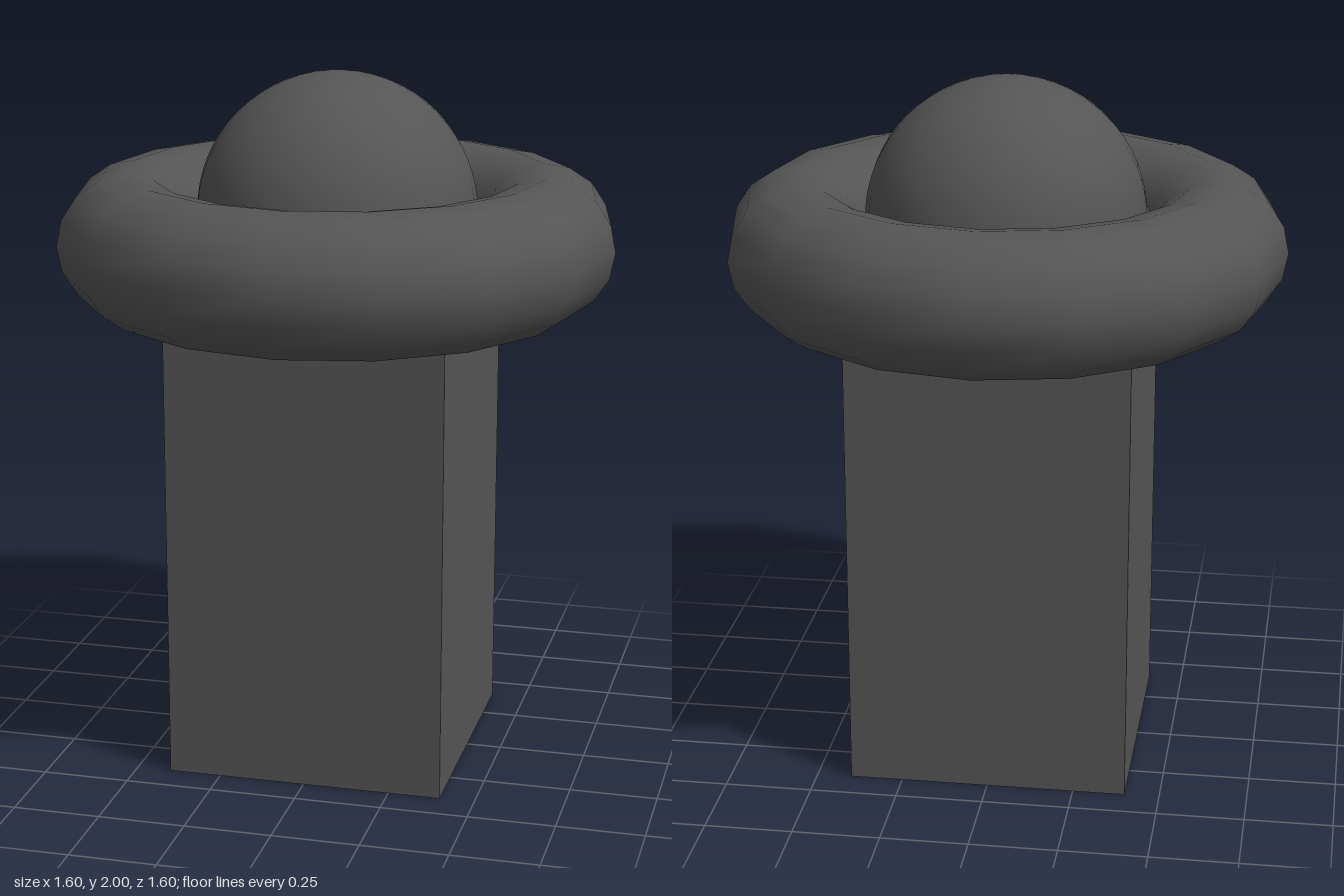
import * as THREE from 'three';

export function createModel() {
  const group = new THREE.Group();
  const material = new THREE.MeshStandardMaterial({ color: 0x555555 });

  const add = (name, geometry, y) => {
    const mesh = new THREE.Mesh(geometry, material);
    mesh.name = name;
    mesh.position.y = y;
    group.add(mesh);
    return mesh;
  };

  // Square post standing on the ground
  add('post', new THREE.BoxGeometry(0.8, 1.6, 0.8), 0.8);

  // Ball half sunk into the top of the post
  add('dome', new THREE.SphereGeometry(0.4, 32, 32), 1.6);

  // Horizontal sixteen-sided ring around the post top
  const ring = add('ring', new THREE.TorusGeometry(0.6, 0.2, 16, 16), 1.52);
  ring.rotation.x = Math.PI / 2;

  return group;
}
